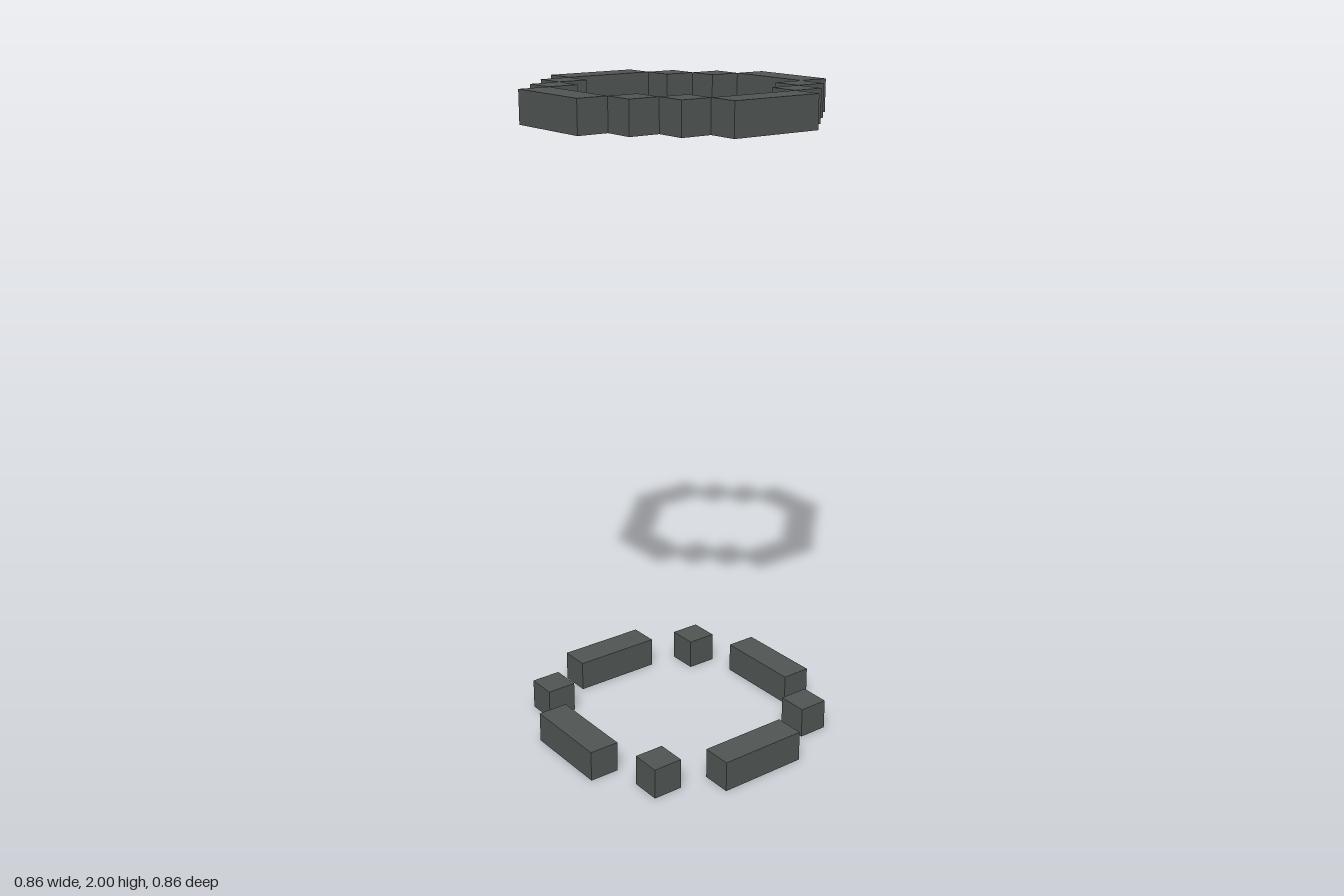
import * as THREE from 'three';

// Everything sits on a grid of cubes, 21 cubes tall
const U = 2 / 21;

export function createModel() {
  const model = new THREE.Group();
  model.name = 'blockRings';
  const stone = new THREE.MeshStandardMaterial({ color: 0x505653 });
  stone.name = 'darkStone';

  const cube = new THREE.BoxGeometry(U, U, U);
  const bar = new THREE.BoxGeometry(3 * U, U, U);

  // One quarter = a straight bar plus its corner cubes, repeated four times
  function ring(name, level, corners) {
    const group = new THREE.Group();
    group.name = name;
    group.position.y = (level + 0.5) * U;
    for (let i = 0; i < 4; i++) {
      const quarter = new THREE.Group();
      quarter.name = 'ringQuarter';
      quarter.rotation.y = (i * Math.PI) / 2;
      const side = new THREE.Mesh(bar, stone);
      side.name = 'sideBar';
      side.position.z = 4 * U;
      quarter.add(side);
      for (const [x, z] of corners) {
        const block = new THREE.Mesh(cube, stone);
        block.name = 'cornerBlock';
        block.position.set(x * U, 0, z * U);
        quarter.add(block);
      }
      group.add(quarter);
    }
    return group;
  }

  model.add(ring('bottomRing', 0, [[3, 3]]));
  model.add(ring('topRing', 20, [[2, 3], [3, 2]]));
  return model;
}
